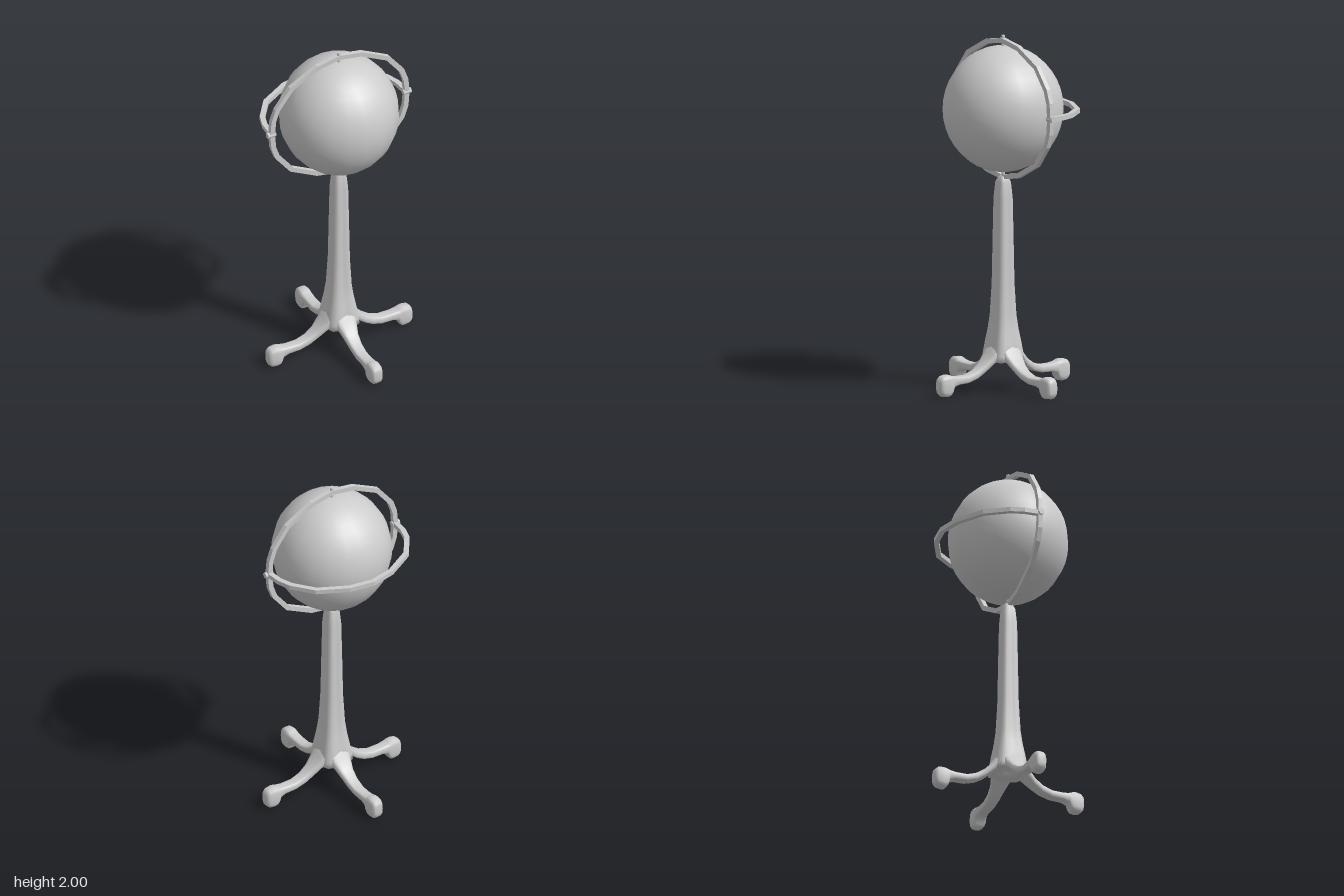
import * as THREE from 'three';

const grey = new THREE.MeshStandardMaterial({ color: 0xcccccc });
const greyFlat = new THREE.MeshStandardMaterial({ color: 0xcccccc, flatShading: true });
const CENTRE = 1.585; // height of the globe's middle

function part(name, geometry, material = grey) {
  const mesh = new THREE.Mesh(geometry, material);
  mesh.name = name;
  return mesh;
}

// Skin a list of equal-length rings, counter-clockwise about the direction of travel, with closed ends.
function loft(rings, startCentre, endCentre) {
  const n = rings[0].length, last = (rings.length - 1) * n;
  const points = [...rings.flat(), startCentre, endCentre];
  const s = points.length - 2, e = points.length - 1, index = [];
  for (let j = 0; j < n; j++) {
    const k = (j + 1) % n;
    for (let i = 0; i < rings.length - 1; i++) {
      const a = i * n + j, b = i * n + k;
      index.push(a, b, b + n, a, b + n, a + n);
    }
    index.push(s, k, j, e, last + j, last + k);
  }
  const g = new THREE.BufferGeometry();
  g.setAttribute('position', new THREE.Float32BufferAttribute(points.flat(), 3));
  g.setIndex(index);
  g.computeVertexNormals();
  return g;
}

// Square column that flares towards the legs: height, reach across a face, reach to a corner
function pillarGeometry() {
  const profile = [
    [0.165, 0.085, 0.12], [0.2, 0.088, 0.115], [0.27, 0.08, 0.102], [0.34, 0.066, 0.087],
    [0.42, 0.056, 0.075], [0.6, 0.047, 0.064], [0.85, 0.043, 0.059], [1.08, 0.04, 0.054],
    [1.17, 0.034, 0.044], [1.2, 0.023, 0.028], [1.212, 0.01, 0.011],
  ];
  const rings = profile.map(([y, a, d]) => Array.from({ length: 24 }, (_, j) => {
    const t = (j / 24) * Math.PI * 2;
    const r = a + (d - a) * Math.sin(2 * t) ** 2;
    return [r * Math.sin(t), y, r * Math.cos(t)];
  }));
  return loft(rings, [0, 0.19, 0], [0, 1.214, 0]);
}

// Leg along +x ending in a block foot: x, underside, top, half width
function legGeometry() {
  const slices = [
    [0.02, 0.17, 0.32, 0.065], [0.07, 0.168, 0.272, 0.066], [0.1, 0.152, 0.215, 0.058],
    [0.15, 0.11, 0.162, 0.042], [0.2, 0.08, 0.128, 0.036], [0.26, 0.063, 0.108, 0.034],
    [0.33, 0.06, 0.108, 0.033], [0.365, 0.048, 0.114, 0.036], [0.374, 0.018, 0.118, 0.037],
    [0.385, 0.004, 0.123, 0.038], [0.405, 0, 0.126, 0.038], [0.435, 0.004, 0.121, 0.036],
    [0.45, 0.018, 0.108, 0.03], [0.454, 0.035, 0.09, 0.02],
  ];
  const soft = (v) => Math.sign(v) * Math.abs(v) ** 0.6;
  const rings = slices.map(([x, low, high, w]) => Array.from({ length: 16 }, (_, j) => {
    const t = (j / 16) * Math.PI * 2;
    return [x, (low + high) / 2 + soft(Math.cos(t)) * (high - low) / 2, soft(Math.sin(t)) * w];
  }));
  return loft(rings, [0.02, 0.24, 0], [0.455, 0.06, 0]);
}

// One quarter of the faceted hoop's centreline, from the side to the top
const quarter = [[0.427, 0], [0.42, 0.09], [0.395, 0.165], [0.305, 0.285], [0.14, 0.374], [0, 0.4]];
const half = [...quarter, ...quarter.slice(0, -1).reverse().map(([x, y]) => [-x, y])];
const full = [...half, ...half.slice(1, -1).reverse().map(([x, y]) => [x, -y])];
const scaled = (pts, s) => pts.map(([x, y]) => new THREE.Vector2(x * s, y * s));

function band(shape) {
  const g = new THREE.ExtrudeGeometry(shape, { depth: 0.026, bevelEnabled: false });
  return g.translate(0, 0, -0.013);
}

export function createModel() {
  const model = new THREE.Group();
  model.name = 'globeOnStand';

  // Stand
  const stand = new THREE.Group();
  stand.name = 'stand';
  stand.add(part('pillar', pillarGeometry()));
  const leg = legGeometry();
  for (let i = 0; i < 4; i++) {
    const mesh = part('leg', leg);
    mesh.rotation.y = (i * Math.PI) / 2;
    stand.add(mesh);
  }
  model.add(stand);

  // Globe
  const globe = part('globe', new THREE.SphereGeometry(0.337, 20, 20));
  globe.scale.y = 1.053;
  globe.position.y = CENTRE;
  model.add(globe);

  // Upright hoop around the globe
  const hoop = new THREE.Shape(scaled(full, 1.035));
  hoop.holes.push(new THREE.Path(scaled(full, 0.965)));
  const meridian = part('meridianRing', band(hoop), greyFlat);
  meridian.position.y = CENTRE;
  meridian.scale.y = 0.965;
  model.add(meridian);

  // Level half hoop around the back
  const arc = new THREE.Shape([...scaled(half, 1.035), ...scaled(half, 0.965).reverse()]);
  const horizon = part('horizonRing', band(arc), greyFlat);
  horizon.rotation.x = -Math.PI / 2;
  horizon.position.y = CENTRE;
  model.add(horizon);

  // Side pivots joining the hoops
  for (const side of [-1, 1]) {
    const pivot = part('pivot', new THREE.CylinderGeometry(0.017, 0.017, 0.05, 8), greyFlat);
    pivot.rotation.z = Math.PI / 2;
    pivot.position.set(side * 0.43, CENTRE, 0);
    model.add(pivot);
  }

  // Axle pins above and below the globe
  for (const [y, h] of [[1.965, 0.07], [1.215, 0.06]]) {
    const pin = part('axlePin', new THREE.CylinderGeometry(0.01, 0.01, h, 10));
    pin.position.y = y;
    model.add(pin);
  }
  return model;
}
